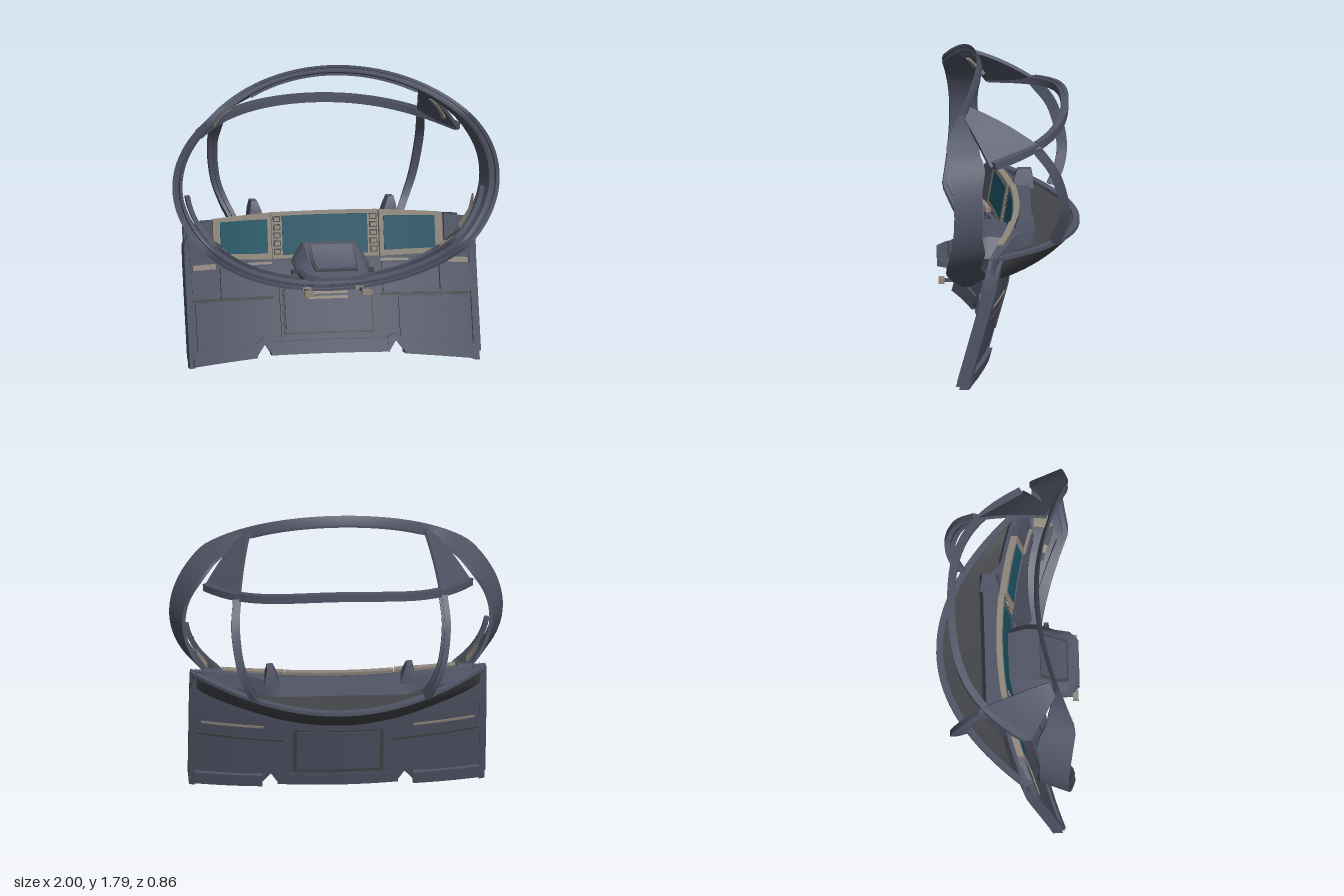
import * as THREE from 'three';
import { toCreasedNormals } from 'three/addons/utils/BufferGeometryUtils.js';

const V = (x, y, z) => new THREE.Vector3(x, y, z);
const { smoothstep } = THREE.MathUtils;
const paint = (name, color) => {
  const m = new THREE.MeshStandardMaterial({ color, side: THREE.DoubleSide });
  m.name = name;
  return m;
};

export function createModel() {
  const root = new THREE.Group();
  root.name = 'cockpit';
  const body = paint('slate body', 0x505465);
  const dark = paint('charcoal hull', 0x434449);
  const beige = paint('warm grey trim', 0x90877c);
  const teal = paint('teal screen', 0x1f5565);

  const add = (name, geo, mat, parent = root) => {
    const m = new THREE.Mesh(geo, mat);
    m.name = name;
    parent.add(m);
    return m;
  };
  // surface through a row of cross-sections; closed joins each section into a tube
  const loft = (sections, closed = true, caps = true) => {
    const n = sections[0].length, pos = [], idx = [];
    sections.forEach(s => s.forEach(p => pos.push(p.x, p.y, p.z)));
    for (let i = 0; i < sections.length - 1; i++) {
      for (let j = 0; j < (closed ? n : n - 1); j++) {
        const a = i * n + j, b = i * n + (j + 1) % n;
        idx.push(a, b, a + n, b, b + n, a + n);
      }
    }
    if (closed && caps) for (let j = 1; j < n - 1; j++) {
      const e = (sections.length - 1) * n;
      idx.push(0, j + 1, j, e, e + j, e + j + 1);
    }
    const g = new THREE.BufferGeometry();
    g.setAttribute('position', new THREE.Float32BufferAttribute(pos, 3));
    g.setIndex(idx);
    return toCreasedNormals(g, 0.6);
  };
  // rectangular bar swept along a smooth path
  const bar = (pts, w, h, ref = V(0, 1, 0), steps = 32) => {
    const c = new THREE.CatmullRomCurve3(pts), secs = [];
    for (let i = 0; i <= steps; i++) {
      const p = c.getPoint(i / steps), t = c.getTangent(i / steps);
      const u = t.clone().cross(ref).normalize(), v = u.clone().cross(t);
      secs.push([[-1, -1], [1, -1], [1, 1], [-1, 1]].map(([a, b]) =>
        p.clone().addScaledVector(u, a * w / 2).addScaledVector(v, b * h / 2)));
    }
    return loft(secs);
  };
  const range = (a, b, n) => Array.from({ length: n + 1 }, (_, i) => a + (b - a) * i / n);

  // ---- canopy ring: an oval bent around the pilot, with forward corners and wide cheeks
  const ringPoint = (a, s, d, inset = 0) => {
    const c = Math.abs(Math.cos(a)), lower = Math.sin(a) < 0;
    const front = c < 0.8 ? 0.19 + 0.31 * c * c : 0.34 + 0.137 * (1 - c * c);
    const width = 0.03 - 0.04 * smoothstep(c, 0.9, 1)
      + 0.18 * (lower ? smoothstep(c, 0.1, 0.85) : smoothstep(c, 0.55, 0.9));
    return V(Math.cos(a) * s, 1.115 + 0.685 * Math.sin(a) * s, front - width * d - inset);
  };
  const ringSection = [[1, 0], [0.978, 0], [0.974, 0.12], [0.958, 0.12], [0.954, 0],
    [0.937, 0.02], [0.91, 1], [0.93, 1]];
  add('canopyRing', loft(range(0, Math.PI * 2, 112).map(a =>
    ringSection.map(([s, d]) => ringPoint(a, s, d))), true, false), body);
  const ringTrim = (name, a0, a1, s0, s1, z0, z1) => add(name, loft(range(a0, a1, 64).map(a =>
    [[s0, z0], [s1, z0], [s1, z1], [s0, z1]].map(([s, z]) => ringPoint(a, s, 0, z)))), body);
  ringTrim('upperRingTrim', 0.98, Math.PI - 0.98, 0.905, 0.925, 0.01, 0.03);
  ringTrim('lowerRingTrim', 0.1 - Math.PI, -0.1, 0.89, 0.918, 0.03, 0.07);

  // ---- rear crossbar
  const crossAt = x => V(x, 1.515 - 0.2 * x * x, -0.335 + 0.25 * x * x + 0.72 * x ** 4);
  add('crossbar', bar(range(-0.79, 0.79, 24).map(crossAt), 0.045, 0.045), body);
  add('crossbarLip', bar(range(-0.6, 0.6, 24).map(x => crossAt(x).add(V(0, 0.018, -0.012))), 0.025, 0.025), body);

  // ---- outer hull bowl, pointed at both ends
  const rim = x => V(x, 0.775 + 0.07 * x * x, -0.42 + 0.65 * x * x);
  const keel = x => V(x, 0.525 + 0.24 * x * x, -0.01 + 0.15 * x * x);
  add('hullBowl', loft(range(-0.89, 0.89, 40).map(x => {
    const a = rim(x), b = keel(x), k = 1 - (x / 0.89) ** 2;
    const m = a.clone().lerp(b, 0.5).add(V(0, -0.07 * k, -0.05 * k));
    return new THREE.QuadraticBezierCurve3(a, m, b).getPoints(10);
  }), false), dark);
  add('hullRim', bar(range(-0.87, 0.87, 24).map(x => rim(x).add(V(0, 0, 0.015))), 0.04, 0.02), body);

  // ---- dashboard wall: boxes bent to the arched, leaning wall surface
  const wallZ = (x, y) => 0.155 - 0.27 * Math.min(y, 0.6) - 0.17 * Math.max(0, y - 0.6) + 0.2 * x * x;
  const pair = v => Array.isArray(v) ? v : [v, v];
  const panel = (name, mat, x0, x1, bottom, top, off, depth, parent = root) => {
    const [b0, b1] = pair(bottom), [t0, t1] = pair(top);
    const g = new THREE.BoxGeometry(1, 1, depth, Math.max(1, Math.ceil((x1 - x0) / 0.06)), 6, 1);
    const p = g.attributes.position;
    for (let i = 0; i < p.count; i++) {
      const u = p.getX(i) + 0.5, v = p.getY(i) + 0.5;
      const x = x0 + (x1 - x0) * u, lo = b0 + (b1 - b0) * u, hi = t0 + (t1 - t0) * u;
      const y = lo + (hi - lo) * v;
      p.setXYZ(i, x, y, wallZ(x, y) + off - depth / 2 + p.getZ(i));
    }
    return add(name, toCreasedNormals(g, 0.4), mat, parent);
  };
  panel('centreWall', body, -0.38, 0.38, 0.12, 0.86, 0, 0.03);
  panel('centreSkirt', body, -0.36, 0.36, 0.05, 0.13, 0.025, 0.06);
  panel('centreFrame', body, -0.29, 0.29, 0.15, 0.46, 0.015, 0.03);
  panel('centreGroove', dark, -0.275, 0.275, 0.165, 0.445, 0.019, 0.008);
  panel('centrePad', body, -0.262, 0.262, 0.178, 0.432, 0.03, 0.02);
  panel('centreBackGroove', dark, -0.27, 0.27, 0.15, 0.46, -0.028, 0.006);
  panel('centreBackPad', body, -0.25, 0.25, 0.17, 0.45, -0.03, 0.01);
  panel('centreHandle', beige, -0.12, 0.12, 0.372, 0.385, 0.055, 0.03);
  panel('centreHandleTop', beige, -0.12, 0.12, 0.4, 0.42, 0.05, 0.03);
  panel('centreScreenFrame', beige, -0.325, 0.325, 0.61, 0.88, 0.025, 0.035);
  panel('centreScreen', teal, -0.26, 0.26, 0.63, 0.862, 0.03, 0.006);

  // ---- deck behind the screens, dropping into the hull
  const deckBack = x => Math.max(0, Math.abs(x) - 0.42) - 0.135;
  const deckXs = range(-0.8, 0.8, 32);
  add('dashDeck', loft(deckXs.map(x => {
    const f = wallZ(x, 0.86) - 0.01, b = Math.min(deckBack(x), f - 0.02);
    return [V(x, 0.86, f), V(x, 0.855, b), V(x, 0.77, Math.max(b - 0.02, rim(x).z + 0.01))];
  }), false), body);
  add('deckWell', loft(deckXs.map(x => {
    const r = rim(x), b = Math.min(deckBack(x), wallZ(x, 0.86) - 0.03) - 0.02;
    return [V(x, 0.77, Math.max(b, r.z + 0.01)), V(x, r.y - 0.02, r.z + 0.01)];
  }), false), dark);

  // ---- everything that comes in pairs
  const half = new THREE.Group();
  half.name = 'leftSide';
  panel('sideWall', body, 0.38, 0.885, [0.14, 0.05], [0.86, 0.84], 0, 0.03, half);
  panel('lowerSidePanel', body, 0.43, 0.83, [0.12, 0.1], [0.37, 0.38], 0.015, 0.02, half);
  panel('panelRidge', dark, 0.33, 0.84, [0.375, 0.385], [0.39, 0.4], 0.01, 0.05, half);
  panel('upperSidePanel', body, 0.34, 0.66, 0.4, 0.57, 0.025, 0.03, half);
  panel('upperOuterPanel', body, 0.675, 0.85, 0.41, 0.57, 0.03, 0.035, half);
  panel('panelLip', beige, 0.69, 0.84, 0.575, 0.6, 0.035, 0.04, half);
  panel('innerLip', beige, 0.33, 0.5, 0.58, 0.592, 0.02, 0.03, half);
  panel('backLip', beige, 0.45, 0.82, 0.47, 0.485, -0.025, 0.012, half);
  panel('sideSkirt', body, 0.45, 0.86, [0.04, 0.015], [0.12, 0.1], 0.03, 0.09, half);
  panel('notchInner', body, 0.355, 0.40, [0.05, 0.12], [0.14, 0.16], 0.03, 0.05, half);
  panel('notchOuter', body, 0.40, 0.46, [0.12, 0.04], [0.16, 0.12], 0.03, 0.05, half);
  panel('edgeTrim', body, 0.85, 0.89, 0.06, [0.84, 0.72], 0.025, 0.08, half);
  panel('edgeFoot', body, 0.85, 0.885, 0.005, 0.06, 0, 0.06, half);
  panel('wingPanel', body, 0.71, 0.86, 0.63, [0.86, 0.82], 0.03, 0.04, half);
  panel('sideScreenFrame', beige, 0.33, 0.7, [0.61, 0.63], [0.88, 0.865], 0.035, 0.04, half);
  panel('sideScreen', teal, 0.355, 0.655, [0.645, 0.66], 0.848, 0.04, 0.006, half);
  for (let i = 0; i < 5; i++) {
    const y = 0.635 + i * 0.048;
    panel('buttonBezel', dark, 0.272, 0.316, y, y + 0.034, 0.032, 0.012, half);
    panel('button', beige, 0.278, 0.31, y + 0.006, y + 0.028, 0.036, 0.008, half);
  }

  // window pillar
  add('windowPillar', bar([V(0.625, 1.43, -0.17), V(0.64, 1.28, -0.275), V(0.61, 1.05, -0.335),
    V(0.565, 0.92, -0.32), V(0.515, 0.81, -0.27)], 0.045, 0.035, V(1, 0, 0)), body, half);
  add('pillarGasket', bar([V(0.605, 1.42, -0.15), V(0.618, 1.28, -0.25), V(0.59, 1.05, -0.31),
    V(0.545, 0.92, -0.295), V(0.5, 0.82, -0.25)], 0.03, 0.025, V(1, 0, 0)), body, half);

  // corner web between ring and crossbar
  const inner = new THREE.QuadraticBezierCurve3(V(0.53, 1.675, 0.24), V(0.58, 1.6, 0.02), V(0.61, 1.44, -0.19));
  const outer = new THREE.QuadraticBezierCurve3(V(0.6, 1.62, 0.27), V(0.7, 1.53, 0.2), V(0.8, 1.385, 0.12));
  const down = V(-0.012, -0.016, 0.005);
  add('cornerWeb', loft(range(0, 1, 12).map(t => {
    const a = inner.getPoint(t), b = outer.getPoint(t);
    return [a, b, b.clone().add(down), a.clone().add(down)];
  })), body, half);
  add('cornerWebTrim', bar([V(0.6, 1.585, 0.235), V(0.66, 1.52, 0.19), V(0.7, 1.45, 0.14)], 0.02, 0.02), beige, half);

  // cheek plates and louvres inside the ring
  add('cheekPlate', loft([[V(0.862, 1.0, 0.24), V(0.858, 1.0, 0.21)],
    [V(0.845, 0.9, 0.28), V(0.84, 0.9, 0.18)], [V(0.77, 0.79, 0.29), V(0.78, 0.81, 0.18)]], false), beige, half);
  for (let i = 0; i < 3; i++) {
    const k = i * 0.035;
    add('louvre', bar([V(0.69 - k, 0.73 - k, 0.25 - k / 2), V(0.78 - k, 0.8 - k, 0.28 - k / 2)], 0.035, 0.012, V(0, 1, 0), 1),
      i === 1 ? beige : dark, half);
  }

  // deck pod and foot control
  const podRow = (x0, x1, y, z0, z1) => [V(x0, y, z0), V(x1, y, z0), V(x1, y, z1), V(x0, y, z1)];
  add('deckPod', loft([podRow(0.36, 0.45, 0.84, -0.155, -0.03), podRow(0.38, 0.445, 0.9, -0.15, -0.04),
    podRow(0.4, 0.435, 0.95, -0.14, -0.06)]), body, half);
  const block = (name, mat, w, h, d, x, y, z) => add(name, new THREE.BoxGeometry(w, h, d), mat, half).position.set(x, y, z);
  block('controlRod', body, 0.02, 0.018, 0.28, 0.17, 0.45, 0.27);
  block('controlTip', beige, 0.06, 0.03, 0.035, 0.175, 0.452, 0.405);
  block('controlBracket', beige, 0.05, 0.02, 0.03, 0.16, 0.455, 0.25);
  block('yokeTab', dark, 0.05, 0.025, 0.03, 0.225, 0.56, 0.24);
  root.add(half);
  const other = half.clone();
  other.name = 'rightSide';
  other.scale.x = -1;
  root.add(other);

  // ---- control column hood, sloping toward the pilot
  const hood = (z, w, lo, hi) => {
    const m = (lo + hi) / 2;
    return [[-0.8, lo], [0.8, lo], [1, m - 0.01], [0.93, m + 0.02], [0.7, hi], [-0.7, hi], [-0.93, m + 0.02], [-1, m - 0.01]]
      .map(([x, y]) => V(x * w, y, z));
  };
  add('columnHood', loft([hood(0.0, 0.2, 0.53, 0.7), hood(0.12, 0.23, 0.51, 0.72), hood(0.2, 0.23, 0.51, 0.7),
    hood(0.29, 0.21, 0.52, 0.61), hood(0.38, 0.2, 0.525, 0.57), hood(0.43, 0.15, 0.53, 0.55)]), body);
  const pad = (z, w, y) => [V(-w, y - 0.03, z), V(w, y - 0.03, z), V(w, y, z), V(-w, y, z)];
  add('columnPadSeam', loft([pad(0.195, 0.14, 0.71), pad(0.29, 0.14, 0.62), pad(0.365, 0.13, 0.587)]), dark);
  add('columnPad', loft([pad(0.2, 0.125, 0.716), pad(0.29, 0.125, 0.628), pad(0.355, 0.115, 0.597)]), body);
  return root;
}
